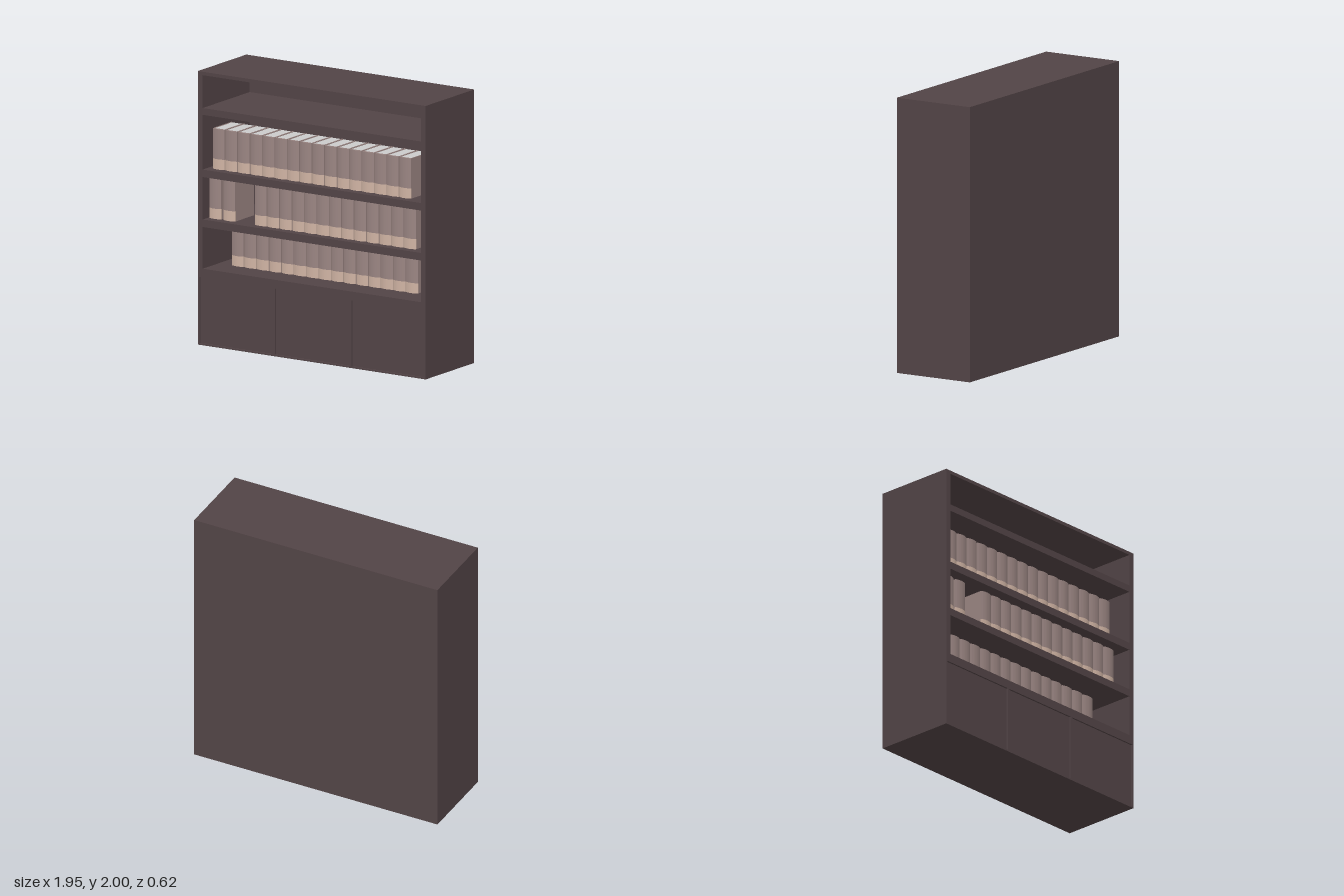
import * as THREE from 'three';

const wood = new THREE.MeshStandardMaterial({ color: 0x524446 });
const cloth = new THREE.MeshStandardMaterial({ color: 0x9a8582 });
const tan = new THREE.MeshStandardMaterial({ color: 0xcfb3a3 });
const paper = new THREE.MeshStandardMaterial({ color: 0xcccccc });

const W = 0.977, FRONT = 0.31, BACK = -0.31;
const BOOK = { width: 0.1, height: 0.295, depth: 0.25, pitch: 0.1066, band: 0.075, cover: 0.006 };

function mesh(name, geometry, material, x = 0, y = 0, z = 0) {
  const m = new THREE.Mesh(geometry, material);
  m.name = name;
  m.position.set(x, y, z);
  return m;
}

function rect(path, x0, y0, x1, y1) {
  path.moveTo(x0, y0);
  path.lineTo(x1, y0);
  path.lineTo(x1, y1);
  path.lineTo(x0, y1);
  path.closePath();
  return path;
}

// Upright slab of the rounded spine, seen from above
function spineGeometry(height) {
  const h = BOOK.width / 2, s = new THREE.Shape();
  s.moveTo(-h, 0.02);
  s.lineTo(-h, 0.012);
  s.quadraticCurveTo(0, -0.012, h, 0.012);
  s.lineTo(h, 0.02);
  s.closePath();
  const g = new THREE.ExtrudeGeometry(s, { depth: height, bevelEnabled: false, curveSegments: 8 });
  return g.rotateX(-Math.PI / 2);
}

const bookParts = {
  band: spineGeometry(BOOK.band),
  spine: spineGeometry(BOOK.height - BOOK.band),
  cover: new THREE.BoxGeometry(BOOK.cover, BOOK.height, BOOK.depth - 0.02),
  pages: new THREE.BoxGeometry(BOOK.width - 2 * BOOK.cover, BOOK.height - 0.006, BOOK.depth - 0.024),
};

// One book: origin at the bottom centre of its spine
function makeBook() {
  const book = new THREE.Group();
  book.name = 'book';
  const mid = -(BOOK.depth + 0.02) / 2;
  book.add(mesh('spineBand', bookParts.band, tan));
  book.add(mesh('spine', bookParts.spine, cloth, 0, BOOK.band, 0));
  for (const side of [-1, 1]) {
    book.add(mesh('cover', bookParts.cover, cloth, side * (BOOK.width - BOOK.cover) / 2, BOOK.height / 2, mid));
  }
  book.add(mesh('pages', bookParts.pages, paper, 0, BOOK.height / 2, mid + 0.002));
  return book;
}

// Case with shelf openings and door recesses cut through the front
function makeCase() {
  const group = new THREE.Group();
  group.name = 'bookcase';
  const outline = rect(new THREE.Shape(), -W, 0, W, 2);
  const shelves = [[0.56, 0.865], [0.92, 1.23], [1.285, 1.685], [1.735, 1.975]];
  for (const [y0, y1] of shelves) outline.holes.push(rect(new THREE.Path(), -0.935, y0, 0.935, y1));
  const doors = [[-0.963, -0.335], [-0.315, 0.322], [0.342, 0.967]];
  for (const [x0, x1] of doors) outline.holes.push(rect(new THREE.Path(), x0, 0.012, x1, 0.495));

  const backThickness = 0.02;
  const body = new THREE.ExtrudeGeometry(outline, { depth: FRONT - BACK - backThickness, bevelEnabled: false });
  group.add(mesh('frame', body, wood, 0, 0, BACK + backThickness));
  group.add(mesh('backPanel', new THREE.BoxGeometry(2 * W, 2, backThickness), wood, 0, 1, BACK + backThickness / 2));
  // Door panels sit slightly behind the front frame
  for (const [x0, x1] of doors) {
    group.add(mesh('door', new THREE.BoxGeometry(x1 - x0, 0.483, 0.02), wood, (x0 + x1) / 2, 0.2535, FRONT - 0.022));
  }
  return group;
}

export function createModel() {
  const model = new THREE.Group();
  model.name = 'filledBookcase';
  model.add(makeCase());

  // Rows of books: left edge, floor height, front of spine, count
  const rows = [
    { x: -0.895, y: 1.285, z: 0.25, count: 16 },
    { x: -0.925, y: 0.92, z: 0.25, count: 1 },
    { x: -0.805, y: 0.92, z: 0.25, count: 1 },
    { x: -0.535, y: 0.92, z: 0.25, count: 13 },
    { x: -0.822, y: 0.56, z: 0.115, count: 15 },
  ];
  for (const row of rows) {
    const group = new THREE.Group();
    group.name = 'bookRow';
    for (let i = 0; i < row.count; i++) {
      const book = makeBook();
      book.position.set(row.x + BOOK.width / 2 + i * BOOK.pitch, row.y, row.z);
      // Turn the spine outline so its bulge faces the front
      for (const part of book.children) {
        if (part.name.startsWith('spine')) part.rotation.y = 0;
      }
      group.add(book);
    }
    model.add(group);
  }
  return model;
}
